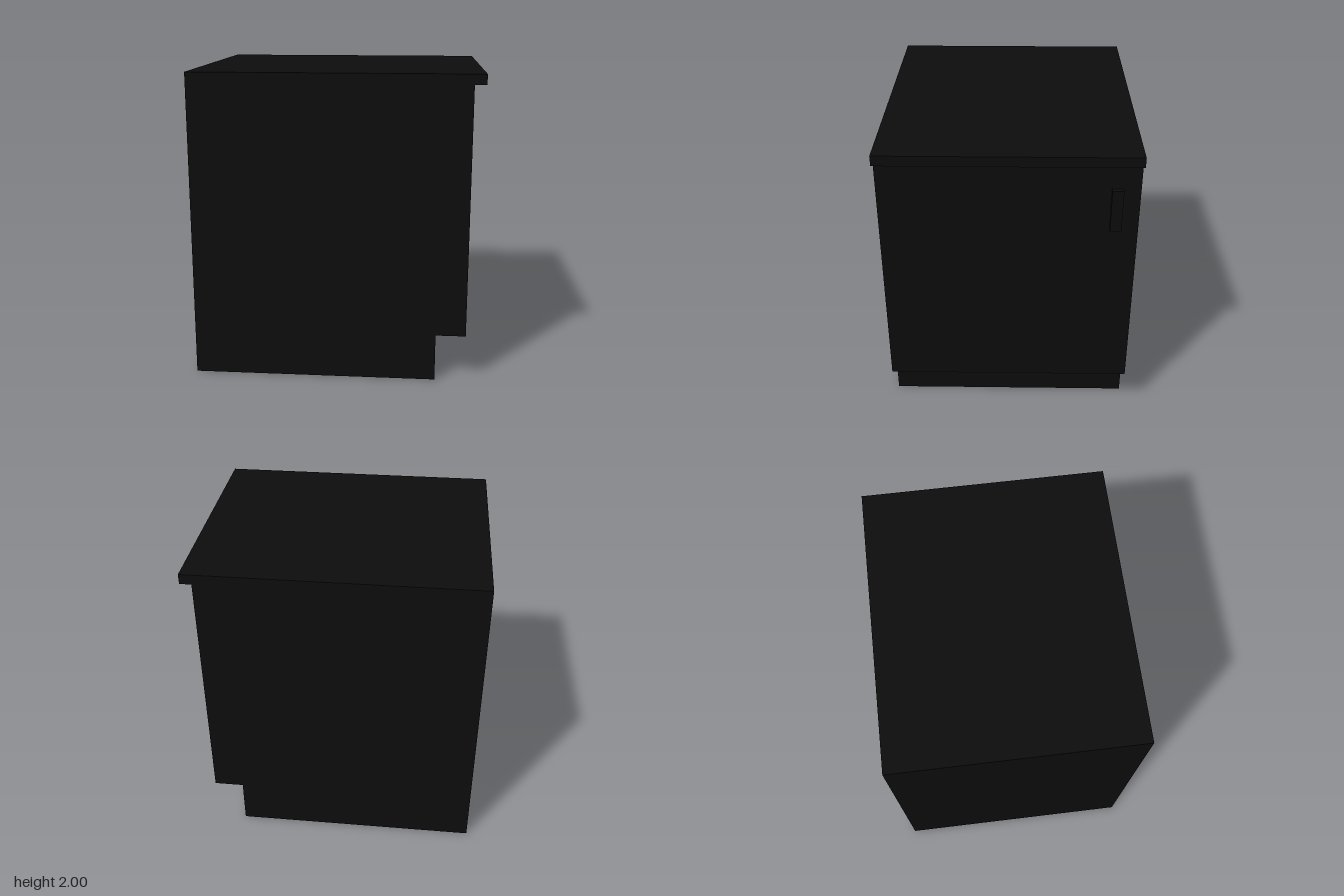
import * as THREE from 'three';

// Base cabinet whose door faces +x
export function createModel() {
  const cabinet = new THREE.Group();
  cabinet.name = 'cabinet';

  const black = new THREE.MeshStandardMaterial({ color: 0x0d0d0d });
  black.name = 'black';

  const BACK = -0.93;
  const HALF_DEPTH = 0.795;

  // Box given by its min and max on each axis
  function block(name, [x0, x1], [y0, y1], [z0, z1]) {
    const mesh = new THREE.Mesh(new THREE.BoxGeometry(x1 - x0, y1 - y0, z1 - z0), black);
    mesh.name = name;
    mesh.position.set((x0 + x1) / 2, (y0 + y1) / 2, (z0 + z1) / 2);
    cabinet.add(mesh);
  }

  const fullDepth = [-HALF_DEPTH, HALF_DEPTH];

  // Recessed plinth, body and overhanging worktop
  block('plinth', [BACK, 0.66], [0, 0.31], fullDepth);
  block('body', [BACK, 0.855], [0.31, 1.935], fullDepth);
  block('worktop', [BACK, 0.93], [1.935, 2], fullDepth);

  // Upright door handle near the back edge
  block('handle', [0.855, 0.885], [1.475, 1.755], [-0.69, -0.62]);

  return cabinet;
}
